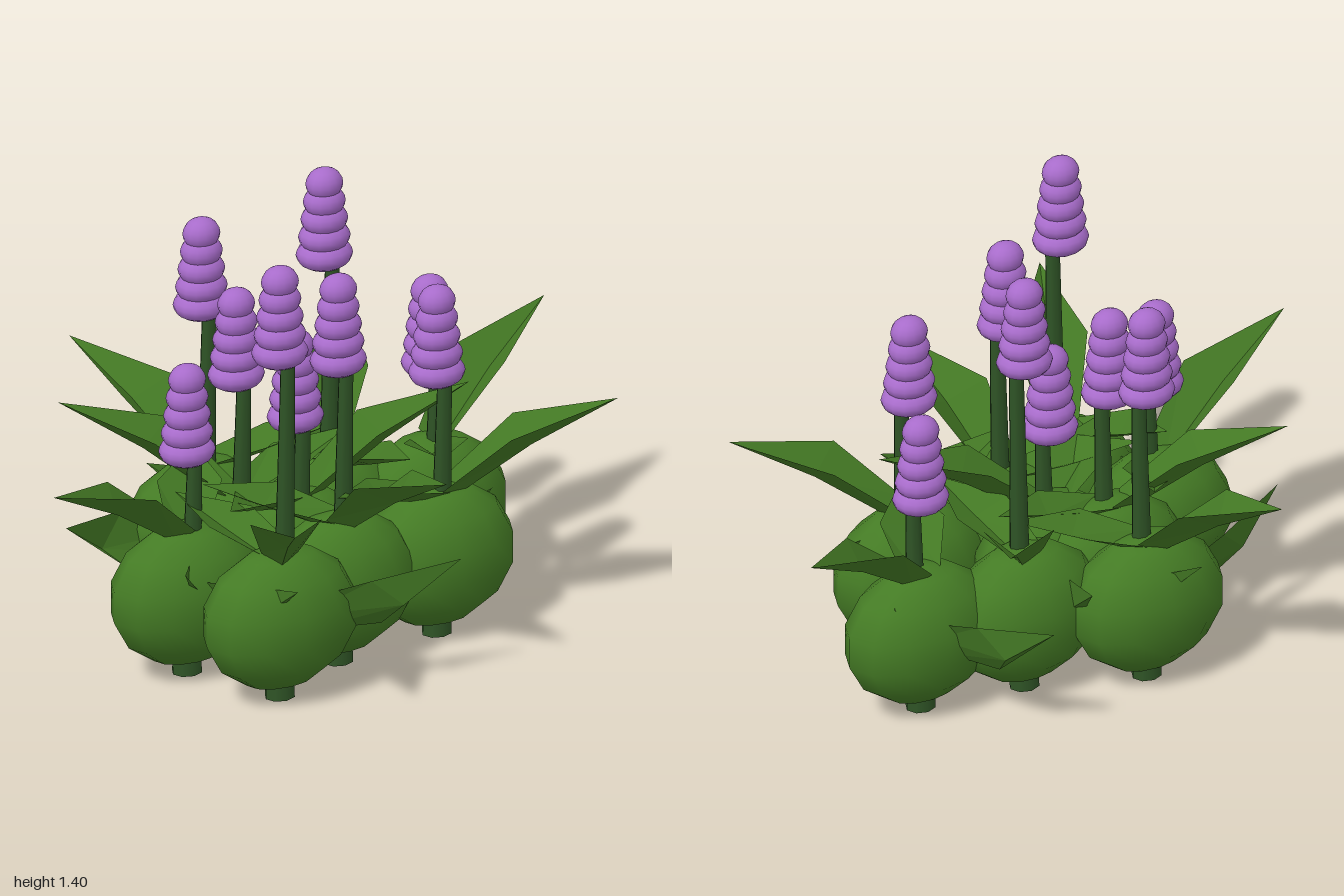
import * as THREE from 'three';

const mat = (name, color, extra = {}) => {
  const m = new THREE.MeshStandardMaterial({ color, ...extra });
  m.name = name;
  return m;
};

// Each plant: x, z, top height, heading of its large leaf in degrees
const PLANTS = [
  [-0.185, -0.34, 1.26, 250],
  [0.155, -0.20, 1.40, -57],
  [0.48, -0.14, 1.00, -24],
  [-0.205, -0.10, 1.13, 218],
  [-0.06, 0.00, 1.00, 10],
  [-0.46, 0.05, 1.00, 164],
  [-0.035, 0.21, 1.26, 80],
  [0.32, 0.18, 1.13, 28],
  [-0.31, 0.34, 1.40, 112],
];

// Folded leaf: each row is edge, keel, edge as [outward, height, sideways]; it ends in one tip
function leafGeometry(base, mid, tip) {
  const tris = [];
  for (let i = 0; i < 2; i++) {
    tris.push(base[i], base[i + 1], mid[i], base[i + 1], mid[i + 1], mid[i], mid[i], mid[i + 1], tip);
  }
  const g = new THREE.BufferGeometry();
  g.setAttribute('position', new THREE.Float32BufferAttribute(tris.flat(), 3));
  g.computeVertexNormals();
  return g;
}

// Cylinder between two points
function rod(a, b, ra, rb, material) {
  const dir = b.clone().sub(a);
  const mesh = new THREE.Mesh(new THREE.CylinderGeometry(rb, ra, dir.length(), 8), material);
  mesh.position.copy(a).add(b).multiplyScalar(0.5);
  mesh.quaternion.setFromUnitVectors(new THREE.Vector3(0, 1, 0), dir.normalize());
  return mesh;
}

export function createModel() {
  const model = new THREE.Group();
  model.name = 'floweringClump';

  const bulbGreen = mat('bulb green', 0x457c25);
  const stemGreen = mat('stem green', 0x2f5426);
  const leafGreen = mat('leaf green', 0x437824, { side: THREE.DoubleSide, flatShading: true });
  const purple = mat('blossom purple', 0xa86ccb);

  const bulbGeo = new THREE.SphereGeometry(1, 12, 7);
  const ballGeo = new THREE.SphereGeometry(1, 14, 10);

  // Rising, inward and low leaves, with their turn from the plant's heading
  const leaves = [
    ['risingLeaf', 0, leafGeometry(
      [[0.02, 0.48, -0.06], [0.04, 0.43, 0], [0.02, 0.48, 0.06]],
      [[0.23, 0.66, -0.11], [0.29, 0.60, 0], [0.23, 0.66, 0.11]],
      [0.555, 0.74, 0])],
    ['inwardLeaf', 135, leafGeometry(
      [[0.0, 0.47, -0.06], [0.02, 0.43, 0], [0.0, 0.47, 0.06]],
      [[0.2, 0.54, -0.1], [0.23, 0.5, 0], [0.2, 0.54, 0.1]],
      [0.42, 0.57, 0])],
    ['lowLeaf', -85, leafGeometry(
      [[0.05, 0.32, 0.04], [0.07, 0.26, 0.01], [0.08, 0.2, -0.02]],
      [[0.28, 0.38, 0.05], [0.38, 0.29, 0.03], [0.31, 0.215, -0.02]],
      [0.555, 0.42, 0])],
  ];

  for (const [x, z, top, heading] of PLANTS) {
    const plant = new THREE.Group();
    plant.name = 'plant';
    plant.position.set(x, 0, z);
    plant.scale.z = 0.87;

    const bulb = new THREE.Mesh(bulbGeo, bulbGreen);
    bulb.name = 'bulb';
    bulb.scale.set(0.255, 0.225, 0.186);
    bulb.position.y = 0.26;
    plant.add(bulb);

    // Short foot below, slightly leaning stem above
    const foot = rod(new THREE.Vector3(0, 0, 0), new THREE.Vector3(0, 0.12, 0), 0.048, 0.044, stemGreen);
    foot.name = 'foot';
    const stem = rod(new THREE.Vector3(0.005, 0.1, 0.01),
      new THREE.Vector3(0.014, top - 0.22, 0.029), 0.036, 0.022, stemGreen);
    stem.name = 'stem';
    plant.add(foot, stem);

    // Blossom spike of stacked flattened balls, widest at the bottom
    const blossom = new THREE.Group();
    blossom.name = 'blossom';
    for (let i = 0; i < 5; i++) {
      const ball = new THREE.Mesh(ballGeo, purple);
      ball.name = 'blossomTier';
      const r = 0.058 + i * 0.0075;
      ball.scale.set(r, 0.05, r);
      ball.position.y = top - 0.05 - i * 0.057;
      blossom.add(ball);
    }
    plant.add(blossom);

    for (const [name, turn, geo] of leaves) {
      const leaf = new THREE.Mesh(geo, leafGreen);
      leaf.name = name;
      leaf.rotation.y = -THREE.MathUtils.degToRad(heading + turn);
      plant.add(leaf);
    }
    model.add(plant);
  }
  return model;
}
